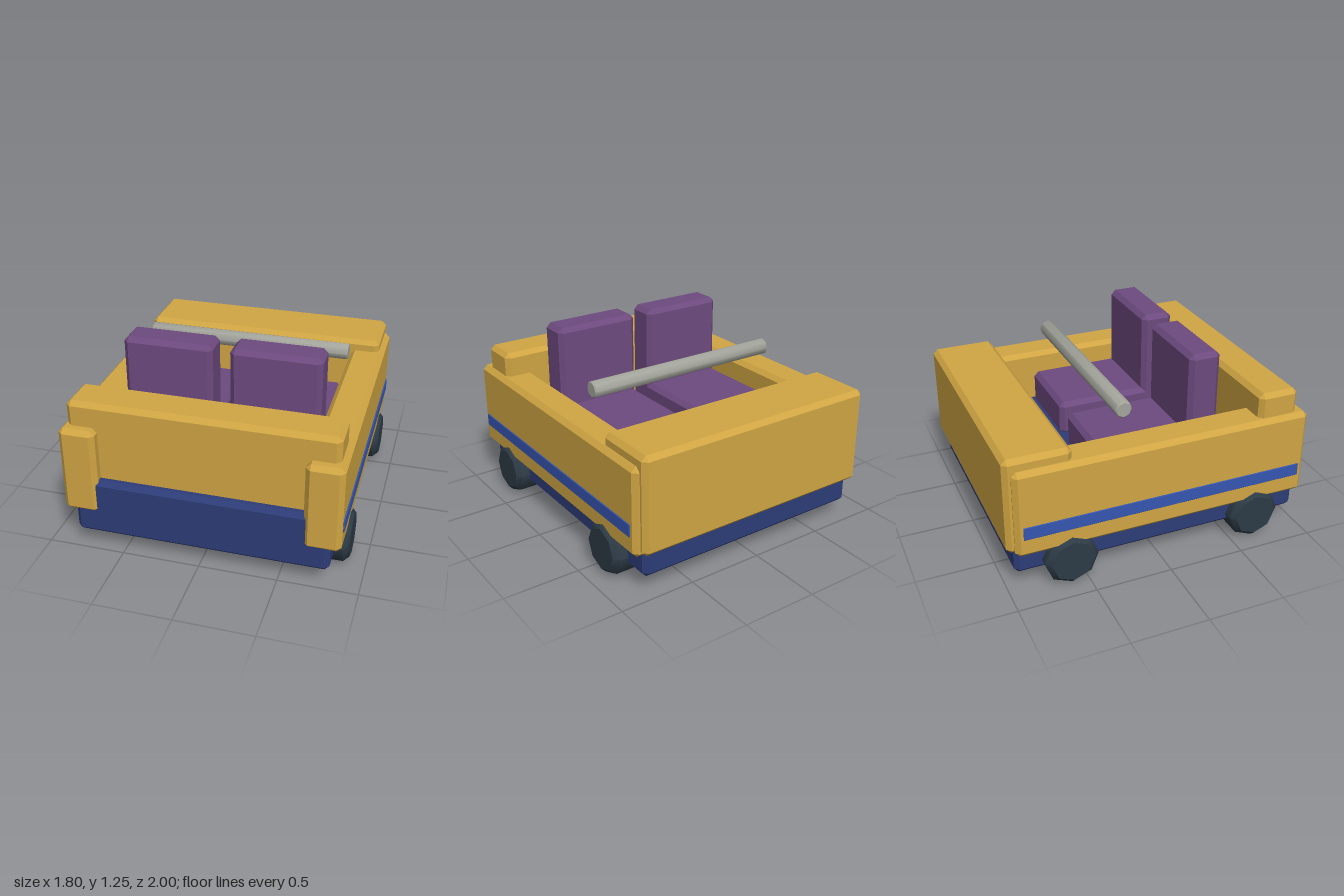
import * as THREE from 'three';
import { toCreasedNormals } from 'three/addons/utils/BufferGeometryUtils.js';
import { ConvexGeometry } from 'three/addons/geometries/ConvexGeometry.js';

const material = (name, color) => {
  const m = new THREE.MeshStandardMaterial({ color });
  m.name = name;
  return m;
};

// Box given by its limits, with every edge cut by a flat chamfer
function chamferBox([x0, x1], [y0, y1], [z0, z1], c = 0.03) {
  const half = [(x1 - x0) / 2, (y1 - y0) / 2, (z1 - z0) / 2];
  const points = [];
  for (const sx of [-1, 1]) for (const sy of [-1, 1]) for (const sz of [-1, 1]) {
    for (let axis = 0; axis < 3; axis++) {
      const [x, y, z] = half.map((h, i) => (i === axis ? h : h - c));
      points.push(new THREE.Vector3(sx * x, sy * y, sz * z));
    }
  }
  return new ConvexGeometry(points).translate((x0 + x1) / 2, (y0 + y1) / 2, (z0 + z1) / 2);
}

// Eight-sided drum lying along x, with chamfered rims
function drum(radius, length, c) {
  const h = length / 2;
  const profile = [[0, -h], [radius - c, -h], [radius, c - h], [radius, h - c], [radius - c, h], [0, h]]
    .map(([r, y]) => new THREE.Vector2(r, y));
  const g = new THREE.LatheGeometry(profile, 8).rotateZ(Math.PI / 2);
  return toCreasedNormals(g, 0.8);
}

export function createModel() {
  const gold = material('gold body', 0xd0a543);
  const navy = material('navy chassis', 0x2d3c78);
  const blue = material('blue stripe', 0x3555b0);
  const purple = material('purple seat', 0x6d4a7f);
  const grey = material('grey bar', 0xa3a59c);
  const rubber = material('dark tyre', 0x2d3b46);

  const model = new THREE.Group();
  model.name = 'openCar';
  const add = (name, geometry, mat, parent = model) => {
    const mesh = new THREE.Mesh(geometry, mat);
    mesh.name = name;
    parent.add(mesh);
    return mesh;
  };

  // Chassis and the end panels
  add('chassis', chamferBox([-0.81, 0.81], [0.11, 0.5], [-0.95, 0.985]), navy);
  add('frontPanel', chamferBox([-0.84, 0.84], [0.44, 1.01], [0.66, 0.93]), gold);
  add('backPanel', chamferBox([-0.84, 0.84], [0.285, 0.925], [-1, -0.575]), gold);

  // Roll bar
  add('rollBar', drum(0.055, 1.37, 0.008), grey).position.set(0, 1.015, -0.193);

  // Mirrored parts
  for (const [side, s] of [['left', 1], ['right', -1]]) {
    const span = (a, b) => (s > 0 ? [a, b] : [-b, -a]);

    add(side + 'SidePanel', chamferBox(span(0.645, 0.877), [0.27, 0.85], [-0.955, 1]), gold);
    add(side + 'Stripe', chamferBox(span(0.876, 0.885), [0.4, 0.485], [-0.907, 0.953], 0.003), blue);

    const seat = new THREE.Group();
    seat.name = side + 'Seat';
    model.add(seat);
    add('cushion', chamferBox(span(0.055, 0.632), [0.48, 0.72], [-0.33, 0.4]), purple, seat);
    add('backrest', chamferBox(span(0.055, 0.632), [0.5, 1.255], [0.272, 0.482]), purple, seat);

    for (const [end, z] of [['Front', 0.652], ['Back', -0.607]]) {
      add(side + end + 'Wheel', drum(0.174, 0.28, 0.035), rubber).position.set(s * 0.76, 0.174, z);
    }
  }
  return model;
}
